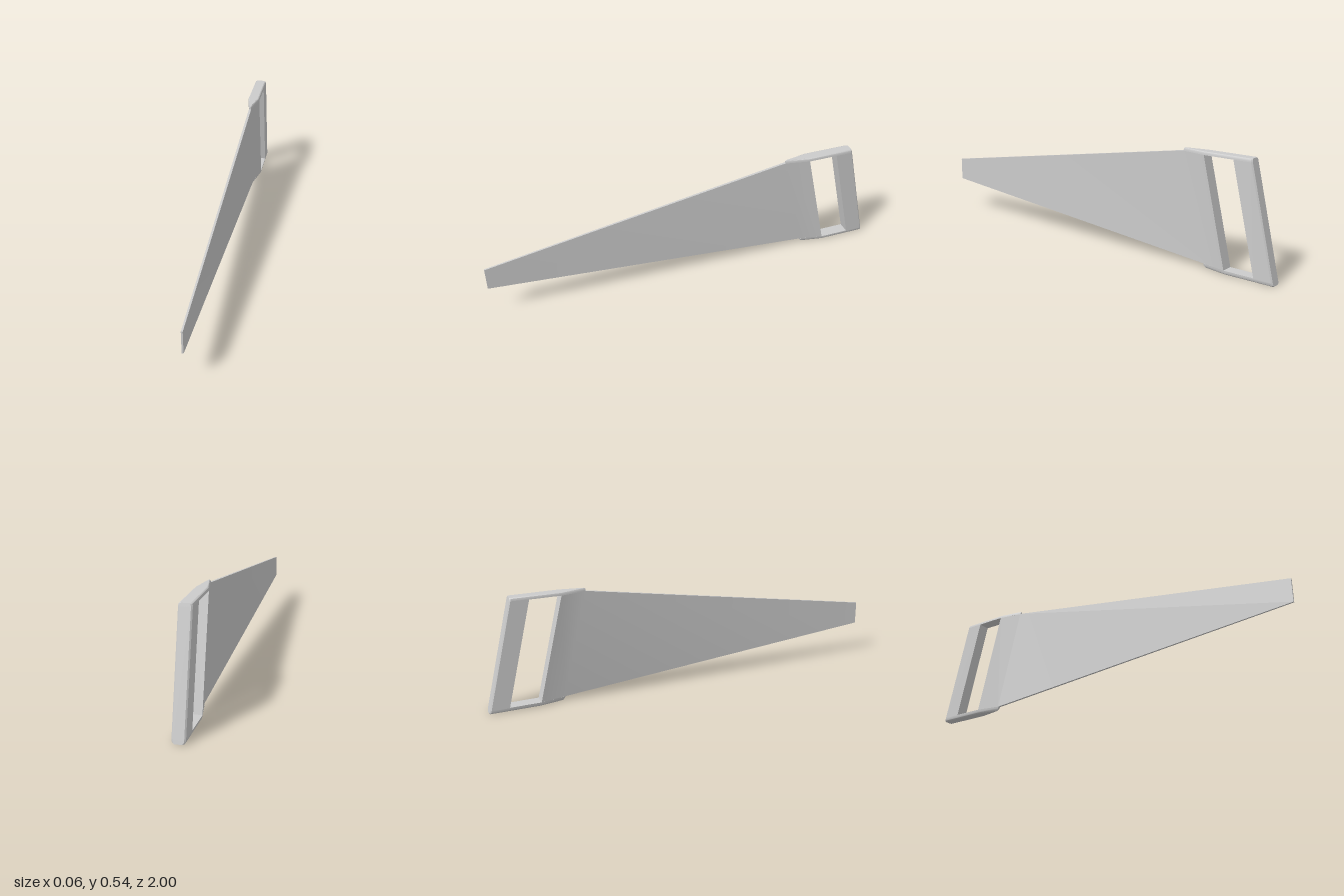
import * as THREE from 'three';
import { toCreasedNormals } from 'three/addons/utils/BufferGeometryUtils.js';

const HEIGHT = 0.54;
const material = new THREE.MeshStandardMaterial({ color: 0xcccccc });

// Closed solid through rings of [x, y, z] corners, counterclockwise seen from the last ring
function loft(name, rings) {
  const n = rings[0].length;
  const last = (rings.length - 1) * n;
  const index = [];
  for (let r = 0; r < rings.length - 1; r++) {
    for (let i = 0; i < n; i++) {
      const a = r * n + i, b = r * n + (i + 1) % n;
      index.push(a, b, b + n, a, b + n, a + n);
    }
  }
  for (let i = 1; i < n - 1; i++) {
    index.push(0, i + 1, i, last, last + i, last + i + 1);
  }
  const geometry = new THREE.BufferGeometry();
  geometry.setAttribute('position', new THREE.Float32BufferAttribute(rings.flat(2), 3));
  geometry.setIndex(index);
  const mesh = new THREE.Mesh(toCreasedNormals(geometry, 0.45), material);
  mesh.name = name;
  return mesh;
}

// Handle parts lean backwards towards the bottom
const lean = (z, y) => z - 0.13 * (1 - y / HEIGHT);

// Stack a mirrored plan outline ([half width, z] from front to back) at several [y, inset] levels
function stack(name, outline, levels) {
  return loft(name, levels.map(([y, inset]) => {
    const right = outline.map(([x, z], i) =>
      [Math.max(x - inset, 0.002), y, lean(z - (i === 0 ? inset : 0), y)]);
    const left = right.map(([x, py, z]) => [-x, py, z]).reverse();
    return [...right, ...left];
  }));
}

// Ring across the blade, with its own depth at the bottom and top edge
const section = (h, yb, zb, yt, zt) =>
  [[-h, yb, zb], [-h, yt, zt], [h, yt, zt], [h, yb, zb]];

export function createModel() {
  const saw = new THREE.Group();
  saw.name = 'handSaw';

  // Thin tapering blade that flares into the front wall of the handle
  saw.add(loft('blade', [
    section(0.004, 0.162, 1, 0.276, 1),
    section(0.006, 0.019, lean(-0.515, 0.019), 0.527, lean(-0.515, 0.527)),
    section(0.03, 0.019, lean(-0.632, 0.019), 0.527, lean(-0.632, 0.527)),
  ]));

  // Rear grip bar with softened back edges
  const grip = [[0.03, -0.78], [0.03, -0.864], [0.024, -0.87]];
  saw.add(stack('grip', grip, [[0.017, 0], [0.527, 0]]));

  // Top and bottom plates joining blade and grip, chamfered on the outside
  const plate = [[0.006, -0.512], [0.03, -0.632], [0.03, -0.864], [0.024, -0.87]];
  saw.add(stack('bottomPlate', plate, [[0, 0.008], [0.004, 0.003], [0.012, 0], [0.019, 0]]));
  saw.add(stack('topPlate', plate, [[0.525, 0], [0.529, 0], [0.537, 0.003], [HEIGHT, 0.008]]));

  return saw;
}
